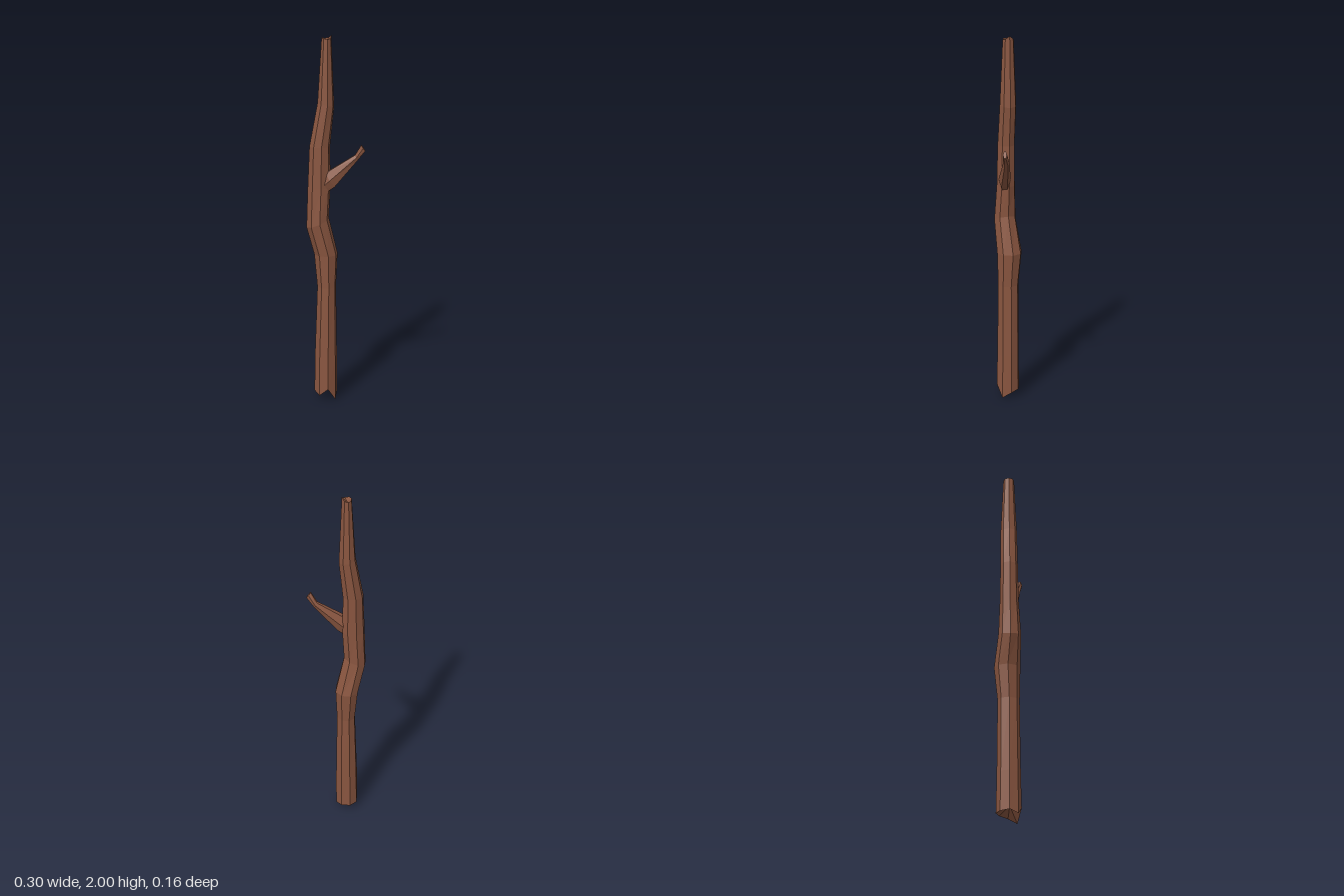
import * as THREE from 'three';

const bark = new THREE.MeshStandardMaterial({ color: 0x8a5640, flatShading: true });

// Skins a list of point rings and closes both ends with a fan around a centre point
function loft(name, rings, startCentre, endCentre) {
  const pos = [];
  const tri = (...pts) => pts.forEach((p) => pos.push(p.x, p.y, p.z));
  const n = rings[0].length;
  const last = rings[rings.length - 1];
  for (let i = 0; i < n; i++) {
    const j = (i + 1) % n;
    for (let k = 0; k < rings.length - 1; k++) {
      const a = rings[k], b = rings[k + 1];
      tri(a[i], b[i], a[j]);
      tri(a[j], b[i], b[j]);
    }
    tri(startCentre, rings[0][i], rings[0][j]);
    tri(endCentre, last[j], last[i]);
  }
  const geo = new THREE.BufferGeometry();
  geo.setAttribute('position', new THREE.Float32BufferAttribute(pos, 3));
  geo.computeVertexNormals();
  const mesh = new THREE.Mesh(geo, bark);
  mesh.name = name;
  return mesh;
}

// Ring of points around a centre, spanned by two axes
function ring(c, u, v, ru, rv, sides) {
  return Array.from({ length: sides }, (_, i) => {
    const a = (i / sides) * Math.PI * 2;
    return c.clone().addScaledVector(u, ru * Math.cos(a)).addScaledVector(v, rv * Math.sin(a));
  });
}

function createTrunk() {
  // height, left x, right x, back z, front z, rise towards the right
  const sections = [
    [0.0, -0.11, 0.015, -0.07, 0.06, 0],
    [0.25, -0.107, 0.015, -0.066, 0.056, 0],
    [0.65, -0.092, 0.01, -0.063, 0.052, 0],
    [0.83, -0.107, 0.02, -0.082, 0.056, 0],
    [1.01, -0.15, -0.03, -0.062, 0.057, 0.025],
    [1.2, -0.142, -0.02, -0.055, 0.046, 0],
    [1.42, -0.132, -0.022, -0.052, 0.042, 0],
    [1.64, -0.088, 0.0, -0.05, 0.04, -0.01],
    [1.98, -0.066, -0.015, -0.035, 0.025, 0],
  ];
  const rings = sections.map(([y, x0, x1, z0, z1, rise]) => {
    const u = new THREE.Vector3((x1 - x0) / 2, rise, 0);
    const v = new THREE.Vector3(0, 0, (z1 - z0) / 2);
    return ring(new THREE.Vector3((x0 + x1) / 2, y, (z0 + z1) / 2), u, v, 1, 1, 8);
  });
  // Splintered ends
  [0.03, 0.0, 0.07, 0.03, 0.045, 0.04, 0.04, 0.04].forEach((y, i) => { rings[0][i].y = y; });
  [2.0, 1.985, 1.98, 1.985, 1.985, 1.985, 1.98, 1.985].forEach((y, i) => { rings[8][i].y = y; });
  return loft('trunk', rings, new THREE.Vector3(-0.048, 0.08, 0), new THREE.Vector3(-0.04, 1.975, -0.005));
}

function createBranch() {
  // centre x, y, z, half width, half height
  const sections = [
    [-0.08, 1.19, 0.0, 0.028, 0.04],
    [-0.025, 1.245, 0.02, 0.032, 0.05],
    [0.108, 1.366, 0.053, 0.017, 0.017],
    [0.139, 1.418, 0.071, 0.01, 0.022],
  ];
  const along = new THREE.Vector3(0.78, 0.56, 0.27).normalize();
  const side = new THREE.Vector3(-along.z, 0, along.x).normalize();
  const up = side.clone().cross(along);
  const centres = sections.map(([x, y, z]) => new THREE.Vector3(x, y, z));
  const rings = sections.map((s, i) => ring(centres[i], side, up, s[3], s[4], 6));
  return loft('sideBranch', rings, centres[0], centres[3]);
}

export function createModel() {
  const group = new THREE.Group();
  group.name = 'woodenBranch';
  group.add(createTrunk(), createBranch());
  return group;
}
